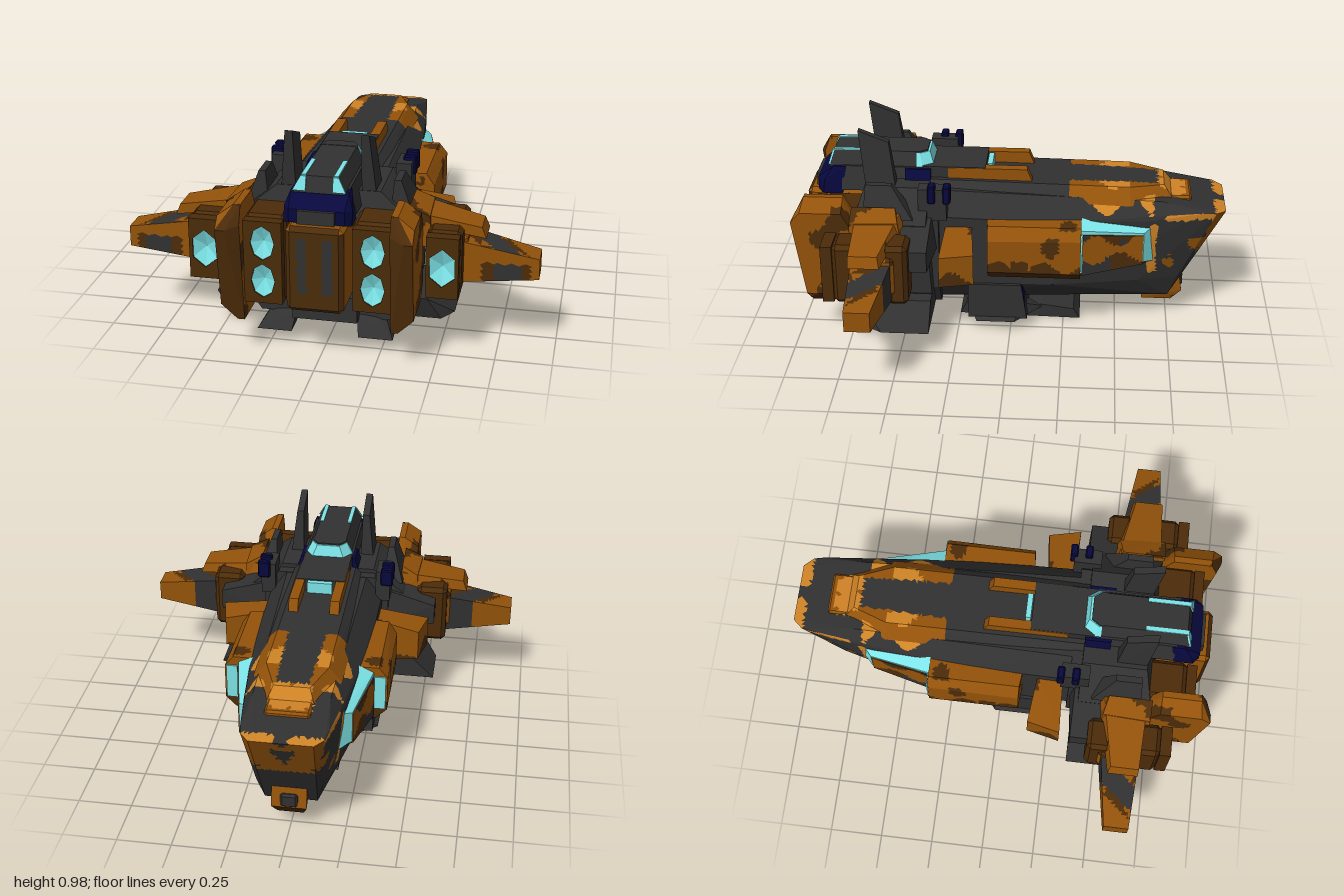
import * as THREE from 'three';
import { ConvexGeometry } from 'three/addons/geometries/ConvexGeometry.js';

const palette = { charcoal: 0x313131, brown: 0x94530a, darkBrown: 0x4c2c0a, orange: 0xd08426, cyan: 0x80eaee, navy: 0x08083e };
const names = Object.keys(palette);

// Blotchy camouflage: a repeatable value for any place on the ship, same on both sides
function blotch(p) {
  const [x, y, z] = [Math.abs(p.x), p.y, p.z].map(v => Math.round(v / 0.02) * 0.02);
  return Math.sin(x * 22 + Math.sin(z * 14) * 1.6) + Math.sin(y * 20 + z * 17 + 1) + 0.5 * Math.sin(x * 35 - y * 25 + z * 29);
}
const brownCamo = p => (blotch(p) > 1.25 ? 'darkBrown' : 'brown');
const rearCamo = (p, n) => (n.z > 0.7 ? 'darkBrown' : brownCamo(p));
const sponsonCamo = p => (p.y < 0.4 + 0.03 * Math.sin(p.z * 30) || blotch(p) > 1.7 ? 'darkBrown' : 'brown');
const bayCamo = p => {
  if (Math.abs(p.y - 0.46) < 0.045 + 0.03 * Math.sin(p.z * 28)) return 'brown';
  return blotch(p) > 0.2 ? 'charcoal' : 'darkBrown';
};
const wingCamo = (p, n) => {
  const x = Math.abs(p.x), u = x - (p.z - 0.6) * 0.8;
  if (n.z > 0.7 && p.y > 0.43) return 'brown';
  if (u > 0.66 && u < 0.78) return 'charcoal';
  return x < 0.58 || (u > 0.6 && u < 0.82 && blotch(p) > 0) ? 'darkBrown' : 'brown';
};
const sternCamo = (p, n) => {
  const x = Math.abs(p.x);
  if (n.z > 0.7) return x > 0.035 && x < 0.075 && p.y > 0.35 && p.y < 0.6 ? 'charcoal' : 'darkBrown';
  return 'brown';
};
const hullCamo = (p, n) => {
  const b = blotch(p), x = Math.abs(p.x);
  if (p.z > -0.27) return 'charcoal';
  if (n.y > 0.6) {
    if (p.z < -0.95) return x < 0.03 ? 'charcoal' : 'orange';
    if (p.z < -0.66) return x > 0.13 && b > 0.9 || x < 0.1 && b > 0 ? 'orange' : 'charcoal';
    return x < 0.2 + 0.03 * Math.sin(p.z * 25) ? 'orange' : 'charcoal';
  }
  if (n.z < -0.5) return p.y > 0.36 && b > 0.3 ? 'brown' : 'charcoal';
  if (n.y > 0.25 && p.z > -0.66) return x < 0.19 ? 'orange' : 'charcoal';
  if (p.z < -0.64 && p.y > 0.29 && p.y < 0.56) return p.z > -0.68 ? 'orange' : b > 0.3 ? 'brown' : 'charcoal';
  return p.z < -0.72 && p.y > 0.575 ? 'orange' : 'charcoal';
};
const spineCamo = p => {
  if (p.z > -0.27 || (Math.abs(p.x) < 0.1 + 0.04 * p.z && p.z > -0.68)) return 'charcoal';
  return blotch(p) > 0.7 ? 'orange' : 'brown';
};

// Splits faces into small pieces and sorts them into one group per colour
function paint(geo, rule) {
  const src = geo.attributes.position, bins = {}, todo = [];
  for (let i = 0; i < src.count; i += 3) todo.push([0, 1, 2].map(k => new THREE.Vector3().fromBufferAttribute(src, i + k)));
  while (todo.length) {
    const [a, b, c] = todo.pop();
    const l = [a.distanceTo(b), b.distanceTo(c), c.distanceTo(a)], m = Math.max(...l);
    if (m > 0.028) {
      const [p, q, r] = m === l[0] ? [a, b, c] : m === l[1] ? [b, c, a] : [c, a, b];
      const h = p.clone().lerp(q, 0.5);
      todo.push([p, h, r], [h, q, r]);
    } else {
      const n = b.clone().sub(a).cross(c.clone().sub(a)).normalize();
      const mid = a.clone().add(b).add(c).divideScalar(3);
      (bins[rule(mid, n)] ??= []).push(a, b, c);
    }
  }
  const out = new THREE.BufferGeometry(), all = [];
  for (const key in bins) {
    out.addGroup(all.length, bins[key].length, names.indexOf(key));
    for (const v of bins[key]) all.push(v);
  }
  out.setFromPoints(all);
  out.computeVertexNormals();
  return out;
}

// Corner points of a box with chamfered edges
function block([x0, x1], [y0, y1], [z0, z1], b = 0) {
  const pts = [];
  for (const [x, sx] of [[x0, 1], [x1, -1]]) for (const [y, sy] of [[y0, 1], [y1, -1]]) for (const [z, sz] of [[z0, 1], [z1, -1]]) {
    if (!b) pts.push([x, y, z]);
    else pts.push([x, y + sy * b, z + sz * b], [x + sx * b, y, z + sz * b], [x + sx * b, y + sy * b, z]);
  }
  return pts;
}
// Side profile of [z, y] points spread between two x positions
const slab = (profile, x0, x1) => profile.flatMap(([z, y]) => [[x0, y, z], [x1, y, z]]);
const flip = pts => pts.map(([x, y, z]) => [-x, y, z]);

export function createModel() {
  const ship = new THREE.Group();
  ship.name = 'spaceship';
  const mats = {};
  for (const n of names) {
    mats[n] = new THREE.MeshStandardMaterial({ color: palette[n] });
    mats[n].name = n;
  }
  const matList = names.map(n => mats[n]);
  function addMesh(name, geo, material) {
    const mesh = new THREE.Mesh(geo, material);
    mesh.name = name;
    ship.add(mesh);
    return mesh;
  }
  function add(name, colour, pts) {
    const geo = new ConvexGeometry(pts.map(p => new THREE.Vector3(...p)));
    if (typeof colour === 'string') addMesh(name, geo, mats[colour]);
    else addMesh(name, paint(geo, colour), matList);
  }
  const pair = (name, colour, pts) => { add(name + 'Left', colour, pts); add(name + 'Right', colour, flip(pts)); };
  const centred = (name, colour, pts) => add(name, colour, [...pts, ...flip(pts)]);

  // Main hull, tapering to the raked bow
  centred('hull', hullCamo, [[0.2, 0.7, 0.4], [0.28, 0.6, 0.4], [0.28, 0.25, 0.4], [0.2, 0.13, 0.4],
    [0.27, 0.58, -0.2], [0.27, 0.25, -0.2], [0.17, 0.655, -0.7], [0.225, 0.58, -0.65], [0.2, 0.25, -0.6],
    [0.12, 0.13, -0.75], [0.19, 0.61, -0.9], [0.18, 0.605, -0.955], [0.14, 0.6, -1], [0.15, 0.25, -0.79]]);
  centred('chin', brownCamo, [[0.08, 0.25, -0.62], [0.08, 0.25, -0.8], [0.08, 0.13, -0.82], [0.06, 0.07, -0.77], [0.06, 0.07, -0.63], [0.06, 0.1, -0.66]]);
  centred('chinSensor', 'charcoal', block([0.02, 0.04], [0.13, 0.2], [-0.825, -0.8], 0.01));

  // Dorsal spine, rails and deck
  centred('spine', spineCamo, [[0.2, 0.67, 0.4], [0.14, 0.725, 0.4], [0.2, 0.64, -0.55], [0.14, 0.71, -0.55], [0.11, 0.63, -0.76], [0.08, 0.7, -0.71]]);
  centred('bowStep', spineCamo, block([0, 0.1], [0.6, 0.65], [-0.84, -0.7], 0.01));
  pair('rail', 'brown', slab([[0.3, 0.7], [0.3, 0.775], [-0.07, 0.775], [-0.1, 0.7]], 0.075, 0.12));
  centred('deck', 'charcoal', block([0, 0.117], [0.7, 0.778], [0.125, 0.42]));
  centred('deckWindow', 'cyan', block([0, 0.06], [0.71, 0.775], [0.095, 0.12]));

  // Mid body around the engines
  centred('midBody', 'charcoal', [[0.23, 0.72, 0.38], [0.38, 0.6, 0.38], [0.38, 0.25, 0.36], [0.3, 0.13, 0.36],
    [0.23, 0.72, 0.68], [0.38, 0.6, 0.72], [0.38, 0.25, 0.72], [0.3, 0.13, 0.72]]);
  centred('seamCollar', 'charcoal', [[0.24, 0.7, 0.33], [0.31, 0.6, 0.33], [0.31, 0.24, 0.33], [0.24, 0.13, 0.33],
    [0.24, 0.7, 0.39], [0.31, 0.6, 0.39], [0.31, 0.24, 0.39], [0.24, 0.13, 0.39]]);
  for (const z of [0.27, 0.34]) pair('collarBar', 'navy', block([0.275, 0.335], [0.69, 0.775], [z, z + 0.035], 0.006));
  pair('collarLink', 'charcoal', block([0.25, 0.32], [0.6, 0.755], [0.29, 0.42]));
  pair('lowerFlare', 'charcoal', [[0.3, 0.24, 0.36], [0.44, 0.24, 0.36], [0.55, 0.13, 0.36], [0.3, 0.13, 0.36],
    [0.3, 0.24, 0.7], [0.44, 0.24, 0.7], [0.55, 0.13, 0.58], [0.5, 0.13, 0.66], [0.3, 0.13, 0.66]]);
  pair('shoulder', 'charcoal', [[0.3, 0.45, 0.34], [0.54, 0.45, 0.36], [0.54, 0.55, 0.36], [0.3, 0.62, 0.36],
    [0.3, 0.45, 0.6], [0.54, 0.45, 0.6], [0.54, 0.55, 0.6], [0.3, 0.62, 0.6]]);
  pair('shoulderArmour', brownCamo, [[0.36, 0.5, 0.48], [0.45, 0.5, 0.48], [0.44, 0.64, 0.5], [0.36, 0.68, 0.52],
    [0.36, 0.5, 0.72], [0.46, 0.5, 0.72], [0.45, 0.64, 0.72], [0.36, 0.68, 0.72]]);

  // Side sponsons with glazed forward bays
  pair('sponson', sponsonCamo, [[0.25, 0.59, 0.11], [0.34, 0.59, 0.1], [0.38, 0.53, 0.1], [0.38, 0.37, 0.1], [0.33, 0.32, 0.1], [0.25, 0.32, 0.11],
    [0.25, 0.59, -0.33], [0.34, 0.59, -0.33], [0.38, 0.54, -0.33], [0.38, 0.37, -0.33], [0.33, 0.32, -0.33], [0.25, 0.32, -0.33]]);
  pair('sponsonFrontWindow', 'cyan', block([0.29, 0.372], [0.375, 0.545], [-0.337, -0.329]));
  pair('sponsonBay', 'cyan', [[0.24, 0.6, -0.33], [0.315, 0.565, -0.33], [0.315, 0.34, -0.33], [0.24, 0.34, -0.33],
    [0.2, 0.55, -0.67], [0.255, 0.53, -0.62], [0.255, 0.38, -0.62], [0.2, 0.36, -0.67]]);
  pair('bayPanel', bayCamo, [[0.31, 0.545, -0.338], [0.32, 0.545, -0.338], [0.31, 0.335, -0.338], [0.32, 0.335, -0.338],
    [0.252, 0.52, -0.617], [0.26, 0.52, -0.617], [0.252, 0.37, -0.617], [0.26, 0.37, -0.617]]);
  pair('bayFloor', 'darkBrown', [[0.22, 0.33, -0.335], [0.318, 0.33, -0.335], [0.22, 0.345, -0.335], [0.318, 0.345, -0.335],
    [0.18, 0.352, -0.66], [0.258, 0.37, -0.617], [0.18, 0.362, -0.66], [0.258, 0.38, -0.617]]);

  // Wings: stub wing forward, main wing and its upper plate aft
  pair('stubWing', sponsonCamo, [[0.26, 0.55, 0.18], [0.26, 0.32, 0.18], [0.26, 0.55, 0.3], [0.26, 0.32, 0.3],
    [0.48, 0.51, 0.155], [0.48, 0.36, 0.155], [0.515, 0.51, 0.31], [0.515, 0.36, 0.31]]);
  pair('mainWing', wingCamo, [[0.44, 0.55, 0.49], [0.44, 0.32, 0.49], [0.44, 0.55, 0.7], [0.44, 0.32, 0.7],
    [0.92, 0.46, 0.56], [0.92, 0.365, 0.56], [0.92, 0.46, 0.675], [0.92, 0.365, 0.675]]);
  pair('upperWingPlate', brownCamo, [[0.36, 0.6, 0.48], [0.36, 0.65, 0.5], [0.36, 0.6, 0.7], [0.36, 0.65, 0.7],
    [0.69, 0.545, 0.55], [0.67, 0.595, 0.56], [0.69, 0.545, 0.69], [0.67, 0.595, 0.69]]);

  // Side engine pods, rear engine boxes, stern block and outer armour
  pair('podBody', 'darkBrown', block([0.445, 0.595], [0.305, 0.6], [0.44, 0.78], 0.02));
  pair('podHatch', brownCamo, block([0.58, 0.61], [0.36, 0.55], [0.5, 0.69], 0.015));
  pair('engineBox', 'darkBrown', block([0.145, 0.33], [0.25, 0.65], [0.66, 0.87], 0.02));
  centred('sternBlock', sternCamo, block([0, 0.125], [0.26, 0.65], [0.65, 0.97], 0.02));
  centred('sternCap', 'charcoal', block([0, 0.08], [0.64, 0.71], [0.68, 0.93]));
  centred('sternKeel', 'charcoal', block([0, 0.145], [0.13, 0.25], [0.6, 0.78]));
  pair('engineArmour', rearCamo, [
    ...slab([[0.97, 0.64], [0.94, 0.72], [0.76, 0.72], [0.7, 0.6], [0.68, 0.3], [0.73, 0.18], [0.93, 0.18]], 0.32, 0.35),
    ...slab([[0.995, 0.62], [0.95, 0.67], [0.76, 0.67], [0.71, 0.58], [0.69, 0.32], [0.75, 0.25], [0.94, 0.25]], 0.38, 0.42)]);

  // Frames with openings, each holding a sunken glowing nozzle
  function nozzleFrame(name, [cx, cy, z], [w, h], depth, sides, openings, [rx, ry]) {
    const shape = new THREE.Shape([[-w, -h], [w, -h], [w, h], [-w, h]].map(p => new THREE.Vector2(...p)));
    for (const oy of openings) {
      const ring = Array.from({ length: sides }, (_, i) => {
        const a = i / sides * Math.PI * 2;
        return new THREE.Vector2(Math.sin(a) * rx, oy + Math.cos(a) * ry);
      });
      shape.holes.push(new THREE.Path(ring));
      const bowl = new THREE.CylinderGeometry(0, 1, 0.03, sides, 1, true).toNonIndexed();
      bowl.rotateX(Math.PI / 2).scale(rx, ry, -1);
      bowl.computeVertexNormals();
      addMesh(name + 'Nozzle', bowl, mats.cyan).position.set(cx, cy + oy, z + depth - 0.022);
    }
    const geo = new THREE.ExtrudeGeometry(shape, { depth, bevelEnabled: false });
    addMesh(name + 'Frame', geo, mats.darkBrown).position.set(cx, cy, z);
  }
  for (const s of [-1, 1]) {
    nozzleFrame('engine', [s * 0.238, 0.45, 0.868], [0.085, 0.19], 0.047, 8, [0.09, -0.085], [0.052, 0.078]);
    nozzleFrame('pod', [s * 0.52, 0.4525, 0.778], [0.07, 0.14], 0.052, 6, [0], [0.062, 0.088]);
  }

  // Bridge on its base
  centred('bridgeBase', 'charcoal', [[0.15, 0.66, 0.42], [0.15, 0.66, 0.8], [0.12, 0.772, 0.42], [0.12, 0.772, 0.8]]);
  centred('bridgeBaseRear', 'navy', [[0.147, 0.64, 0.8], [0.147, 0.64, 0.89], [0.147, 0.71, 0.88], [0.125, 0.77, 0.78], [0.125, 0.77, 0.84], [0.12, 0.71, 0.915], [0.12, 0.65, 0.915]]);
  pair('bridgeBaseFront', 'navy', [[0.12, 0.7, 0.38], [0.16, 0.69, 0.38], [0.135, 0.77, 0.38], [0.12, 0.77, 0.38],
    [0.12, 0.7, 0.5], [0.16, 0.69, 0.5], [0.135, 0.77, 0.5], [0.12, 0.77, 0.5]]);
  centred('bridge', 'charcoal', [[0.113, 0.765, 0.44], [0.08, 0.835, 0.44], [0.113, 0.765, 0.86], [0.08, 0.835, 0.84]]);
  centred('bridgeWindow', 'cyan', [[0.115, 0.77, 0.45], [0.085, 0.83, 0.45], [0.115, 0.77, 0.42], [0.085, 0.83, 0.435], [0.08, 0.77, 0.37], [0.055, 0.83, 0.39]]);
  centred('bridgeRoof', 'charcoal', [[0.085, 0.828, 0.46], [0.085, 0.837, 0.46], [0.08, 0.828, 0.435], [0.08, 0.837, 0.435], [0.055, 0.828, 0.4], [0.055, 0.837, 0.4]]);
  pair('bridgeSkylight', 'cyan', block([0.06, 0.08], [0.83, 0.84], [0.65, 0.84]));
  pair('bridgeRearWindow', 'cyan', [[0.058, 0.775, 0.856], [0.115, 0.775, 0.856], [0.058, 0.835, 0.838], [0.082, 0.835, 0.838],
    [0.058, 0.775, 0.865], [0.115, 0.775, 0.865], [0.058, 0.835, 0.847], [0.082, 0.835, 0.847]]);

  // Tall tail fins and short side fins
  pair('tallFin', 'charcoal', [...slab([[0.67, 0.66], [0.53, 0.66]], 0.145, 0.215), ...slab([[0.705, 0.98], [0.565, 0.925]], 0.15, 0.183)]);
  pair('shortFin', 'charcoal', [...slab([[0.67, 0.62], [0.44, 0.62]], 0.27, 0.37), ...slab([[0.66, 0.77], [0.54, 0.77]], 0.285, 0.315)]);

  // Keel tower, foot and splayed lower fins
  centred('keelTower', 'charcoal', slab([[0.2, 0.25], [-0.05, 0.25], [-0.064, 0.12], [-0.08, 0.07], [0.2, 0.07]], 0, 0.29));
  pair('keelFrontPanel', 'navy', slab([[-0.051, 0.24], [-0.058, 0.24], [-0.064, 0.12], [-0.071, 0.12]], 0.2, 0.288));
  centred('keelFoot', 'charcoal', slab([[0.22, 0.07], [-0.15, 0.07], [-0.3, 0.05], [-0.33, 0], [0.25, 0.01]], 0, 0.155));
  pair('keelFin', 'charcoal', [[0.15, 0.12, 0.2], [0.23, 0.12, 0.2], [0.31, 0.06, 0.16], [0.15, 0.06, 0.2],
    [0.15, 0.12, -0.05], [0.23, 0.12, -0.05], [0.31, 0.06, -0.02], [0.15, 0.06, -0.15]]);
  pair('tailFin', 'charcoal', [[0.14, 0.24, 0.62], [0.22, 0.2, 0.62], [0.14, 0.13, 0.74], [0.24, 0.12, 0.74],
    [0.15, 0.065, 0.785], [0.305, 0.065, 0.785], [0.15, 0.07, 0.65], [0.3, 0.07, 0.65]]);
  return ship;
}
